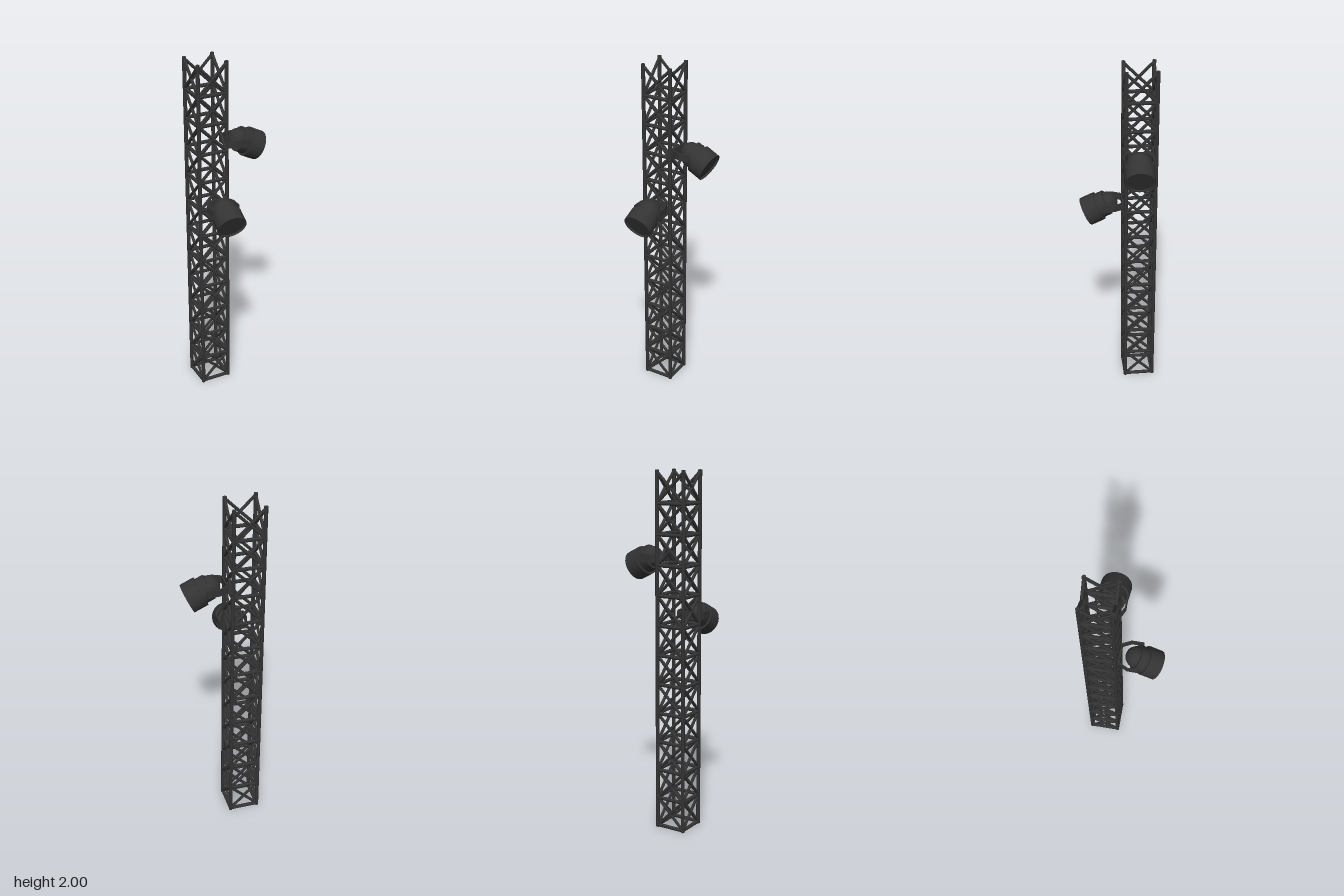
import * as THREE from 'three';
import { toCreasedNormals } from 'three/addons/utils/BufferGeometryUtils.js';

const metal = new THREE.MeshStandardMaterial({ color: 0x333333 });
const UP = new THREE.Vector3(0, 1, 0);

function addMesh(parent, name, geometry) {
  const mesh = new THREE.Mesh(geometry, metal);
  mesh.name = name;
  parent.add(mesh);
  return mesh;
}

// Round bar between two points
function addBar(parent, name, a, b, radius) {
  const dir = b.clone().sub(a);
  const mesh = addMesh(parent, name, new THREE.CylinderGeometry(radius, radius, dir.length(), 10));
  mesh.position.copy(a).add(b).multiplyScalar(0.5);
  mesh.quaternion.setFromUnitVectors(UP, dir.normalize());
}

// Square lattice tower: four posts, a rung and crossed braces per bay and side
function makeTruss() {
  const truss = new THREE.Group();
  truss.name = 'truss';
  const half = 0.083, bays = 12, base = 0.011, bayHeight = (1.99 - base) / bays;
  for (let side = 0; side < 4; side++) {
    const face = new THREE.Group();
    face.name = 'trussSide';
    face.rotation.y = side * Math.PI / 2;
    const p = (x, y) => new THREE.Vector3(x, y, half);
    addBar(face, 'post', p(half, 0), p(half, 2), 0.0108);
    for (let i = 0; i < bays; i++) {
      const y0 = base + i * bayHeight, y1 = y0 + bayHeight;
      addBar(face, 'rung', p(-half, y0), p(half, y0), 0.0105);
      addBar(face, 'brace', p(-half, y0), p(half, y1), 0.0085);
      addBar(face, 'brace', p(half, y0), p(-half, y1), 0.0085);
    }
    truss.add(face);
  }
  return truss;
}

// Spotlight on a bent strap; it points along local +z from the mounting plane
function makeSpotlight() {
  const light = new THREE.Group();
  light.name = 'spotlight';

  // Strap outline seen from above, outer edge then inner edge
  const outer = [[0.083, 0.122], [0.083, 0.053], [0.058, 0]];
  const inner = [[0.053, 0.008], [0.076, 0.055], [0.076, 0.122]];
  const mirror = (pts) => pts.map(([x, z]) => [-x, z]).reverse();
  const outline = [...outer, ...mirror(outer), ...mirror(inner), ...inner];
  const shape = new THREE.Shape(outline.map(([x, z]) => new THREE.Vector2(x, z)));
  const strapHeight = 0.042;
  const strap = new THREE.ExtrudeGeometry(shape, { depth: strapHeight, bevelEnabled: false });
  strap.rotateX(Math.PI / 2).translate(0, strapHeight / 2, 0);
  addMesh(light, 'bracket', strap);

  // Lamp housing: dome, neck, wide front barrel and recessed lens
  const profile = [];
  for (let i = 0; i <= 10; i++) {
    const a = i / 10 * Math.PI / 2;
    profile.push(new THREE.Vector2(0.059 * Math.sin(a), -0.059 * Math.cos(a)));
  }
  for (const [r, z] of [[0.0715, 0], [0.0715, 0.05], [0.083, 0.05], [0.083, 0.132],
    [0.077, 0.132], [0.077, 0.122], [0, 0.122]]) profile.push(new THREE.Vector2(r, z));
  const housing = new THREE.LatheGeometry(profile, 28).rotateX(Math.PI / 2);
  const lamp = addMesh(light, 'lampHousing', toCreasedNormals(housing, 0.6));
  lamp.position.z = 0.09;
  lamp.rotation.set(0.46, -0.06, 0, 'YXZ');

  // Pivot pins between strap and housing
  for (const s of [-1, 1]) {
    const pin = addMesh(light, 'pivotPin', new THREE.CylinderGeometry(0.01, 0.01, 0.02, 12));
    pin.rotation.z = Math.PI / 2;
    pin.position.set(s * 0.069, 0, 0.1);
  }
  return light;
}

export function createModel() {
  const model = new THREE.Group();
  model.name = 'lightingTower';

  const truss = makeTruss();
  truss.position.set(-0.1245, 0, -0.125);
  model.add(truss);

  const sideLight = makeSpotlight();
  sideLight.position.set(-0.031, 1.525, -0.1015);
  sideLight.rotation.y = Math.PI / 2;
  model.add(sideLight);

  const frontLight = makeSpotlight();
  frontLight.position.set(-0.114, 1.2, -0.031);
  model.add(frontLight);
  return model;
}
